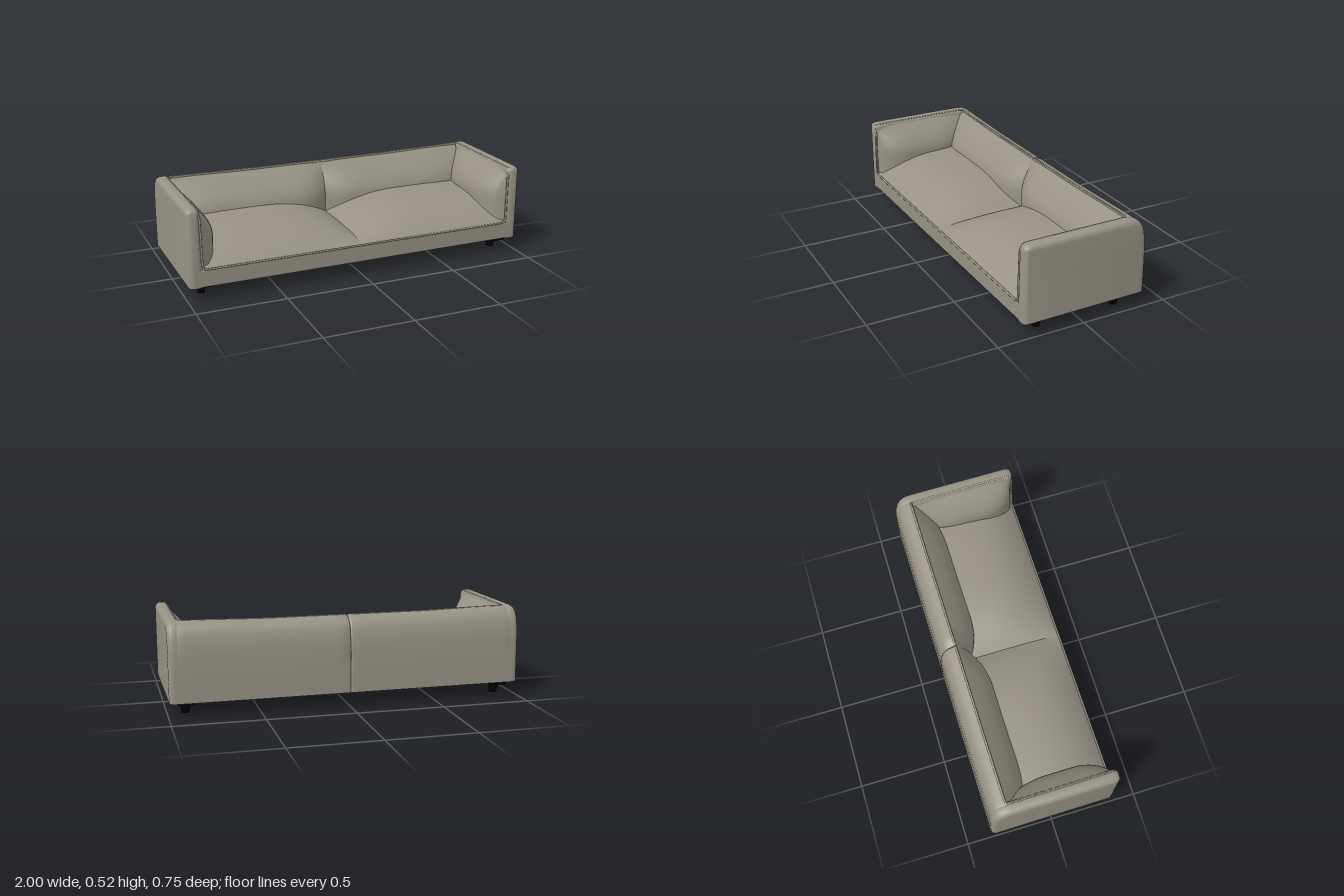
import * as THREE from 'three';
import { toCreasedNormals } from 'three/addons/utils/BufferGeometryUtils.js';
import { RoundedBoxGeometry } from 'three/addons/geometries/RoundedBoxGeometry.js';

export function createModel() {
  const fabric = new THREE.MeshStandardMaterial({ color: 0x979284, side: THREE.DoubleSide });
  fabric.name = 'taupeFabric';
  const black = new THREE.MeshStandardMaterial({ color: 0x000000 });
  black.name = 'blackFrame';

  const model = new THREE.Group();
  model.name = 'sofa';
  const body = new THREE.Group();
  body.name = 'upholstery';
  body.rotation.y = 0.009; // sits slightly turned on its frame
  const frame = new THREE.Group();
  frame.name = 'underFrame';
  model.add(body, frame);

  const add = (name, geometry, parent = body, material = fabric) => {
    const mesh = new THREE.Mesh(geometry, material);
    mesh.name = name;
    parent.add(mesh);
    return mesh;
  };

  // Extrudes a (z, y) profile from x0 to x1 with rounded rims, then adjusts each vertex
  const extrudeAcross = (profile, x0, x1, bevel, steps, adjust) => {
    const shape = new THREE.Shape(profile.map(([z, y]) => new THREE.Vector2(-z, y)));
    const geo = new THREE.ExtrudeGeometry(shape, {
      depth: x1 - x0 - 2 * bevel, steps, bevelEnabled: true, bevelSize: bevel,
      bevelThickness: bevel, bevelOffset: -bevel, bevelSegments: 6,
    });
    geo.rotateY(Math.PI / 2);
    geo.translate(x0 + bevel, 0, 0);
    const p = geo.attributes.position;
    const v = new THREE.Vector3();
    for (let i = 0; i < p.count; i++) {
      v.fromBufferAttribute(p, i);
      if (v.y < 0.12) v.y = 0.08 + (v.y - 0.08) * 0.15; // tight bottom edge
      adjust(v);
      p.setXYZ(i, v.x, v.y, v.z);
    }
    return toCreasedNormals(geo, 0.7);
  };

  // Soft upholstered surface: fn(u, v) gives a point
  const sheet = (name, nu, nv, fn) => {
    const geo = new THREE.PlaneGeometry(1, 1, nu, nv);
    const p = geo.attributes.position;
    for (let i = 0; i < p.count; i++) p.setXYZ(i, ...fn(p.getX(i) + 0.5, p.getY(i) + 0.5));
    geo.computeVertexNormals();
    add(name, geo);
  };

  // Rounded rear edge shared by arms and back
  const rear = (top) => [
    [-0.285, top - 0.004], [-0.308, top - 0.013], [-0.33, top - 0.032],
    [-0.346, top - 0.062], [-0.358, top - 0.112], [-0.364, top - 0.18], [-0.366, 0.25], [-0.366, 0.08],
  ];
  const armProfile = [[0.361, 0.08], [0.361, 0.492], [0.357, 0.506], [0.347, 0.513], [0.33, 0.518], [-0.25, 0.518], ...rear(0.518)];
  const backProfile = [[-0.2, 0.08], [-0.262, 0.2], [-0.262, 0.506], ...rear(0.507)];

  // Arm fronts run flush into the rail at the foot
  const shapeArm = (v) => {
    if (Math.abs(v.x) < 0.952 && v.z > 0.3 && v.y < 0.12) v.z = 0.361 - (0.361 - v.z) * 0.15;
  };
  // Back rises gently to meet the arms
  const rise = (x) => 0.009 * THREE.MathUtils.smoothstep(Math.abs(x), 0.4, 0.92);
  const shapeBack = (v) => {
    if (v.y > 0.3) v.y += rise(v.x) * Math.min(1, (v.y - 0.3) / 0.15);
  };

  // Base with front rail
  const base = add('base', new RoundedBoxGeometry(1.95, 0.1, 0.718, 4, 0.01));
  base.position.set(0, 0.13, 0.002);

  // Arms, back halves and cushions, mirrored
  for (const s of [1, -1]) {
    const side = s > 0 ? 'left' : 'right';
    const span = (a, b) => (s > 0 ? [a, b] : [-b, -a]);
    add(side + 'Arm', extrudeAcross(armProfile, ...span(0.922, 0.998), 0.03, 1, shapeArm));
    add(side + 'Back', extrudeAcross(backProfile, ...span(0, 0.975), 0.01, 16, shapeBack));

    // Seat: crowned, dipping to the middle seam and rolling down to the front rail
    sheet(side + 'SeatCushion', 40, 32, (u, v) => {
      const x = 0.93 * u ** 1.3, z = 0.356 - 0.6 * v ** 1.3;
      const a = 1 - 0.8 * Math.pow(1 - Math.min(x / 0.5, 1), 3) - 1.2 * Math.max(x - 0.6, 0) ** 2;
      const f = Math.min((0.356 - z) / 0.47, 1);
      return [s * x, 0.178 + 0.14 * a * (1 - Math.pow(1 - f, 3.3)), z];
    });

    // Back cushion: swells towards the seat, pinched at the seam
    sheet(side + 'BackCushion', 40, 20, (u, v) => {
      const x = 0.93 * u ** 1.3, y = 0.505 - 0.32 * v;
      const c = 1 - 0.45 * Math.pow(1 - Math.min(x / 0.25, 1), 2.8) - 4 * Math.max(x - 0.68, 0) ** 2;
      const d = Math.sin(Math.min(v * 0.32 / 0.22, 1) * Math.PI / 2);
      return [s * x, y + rise(x) * (1 - v), -0.272 + 0.152 * c * d];
    });

    // Inner arm pad
    sheet(side + 'ArmPad', 32, 24, (u, v) => {
      const z = 0.351 - 0.63 * u, y = 0.51 - 0.335 * v;
      const e = Math.sqrt(Math.max(0, 1 - (1 - Math.min((0.351 - z) / 0.2, 1)) ** 2)) - 8 * Math.max(-z, 0) ** 2;
      const d = Math.sin(Math.min(v * 0.335 / 0.19, 1) * Math.PI / 2);
      return [s * (0.938 - 0.124 * e * d), y, z];
    });
  }

  // Piping around the inner opening
  const half = [
    [0.3, 0.18, 0.358], [0.89, 0.18, 0.358], [0.914, 0.186, 0.358], [0.922, 0.205, 0.357],
    [0.926, 0.46, 0.352], [0.932, 0.495, 0.345], [0.937, 0.51, 0.325],
    [0.938, 0.511, -0.25], [0.93, 0.511, -0.264], [0.9, 0.511, -0.268],
    [0.65, 0.507, -0.268], [0.4, 0.503, -0.268], [0.03, 0.503, -0.268], [0.012, 0.499, -0.27],
  ];
  const loop = [...half, ...half.map(([x, y, z]) => [-x, y, z]).reverse()].map((q) => new THREE.Vector3(...q));
  add('piping', new THREE.TubeGeometry(new THREE.CatmullRomCurve3(loop, true, 'catmullrom', 0.1), 400, 0.006, 8, true));

  // Under-frame: two long rails, two cross planks, four tapered legs
  for (const z of [0.23, -0.245]) {
    add('longRail', new THREE.BoxGeometry(1.8, 0.022, 0.06), frame, black).position.set(0, 0.071, z);
  }
  for (const x of [0.9, -0.9]) {
    add('crossPlank', new THREE.BoxGeometry(0.085, 0.022, 0.655), frame, black).position.set(x, 0.071, -0.006);
    for (const z of [0.23, -0.245]) {
      const leg = new THREE.CylinderGeometry(0.028, 0.022, 0.064, 20);
      add('leg', leg, frame, black).position.set(x, 0.032, z);
    }
  }
  return model;
}
